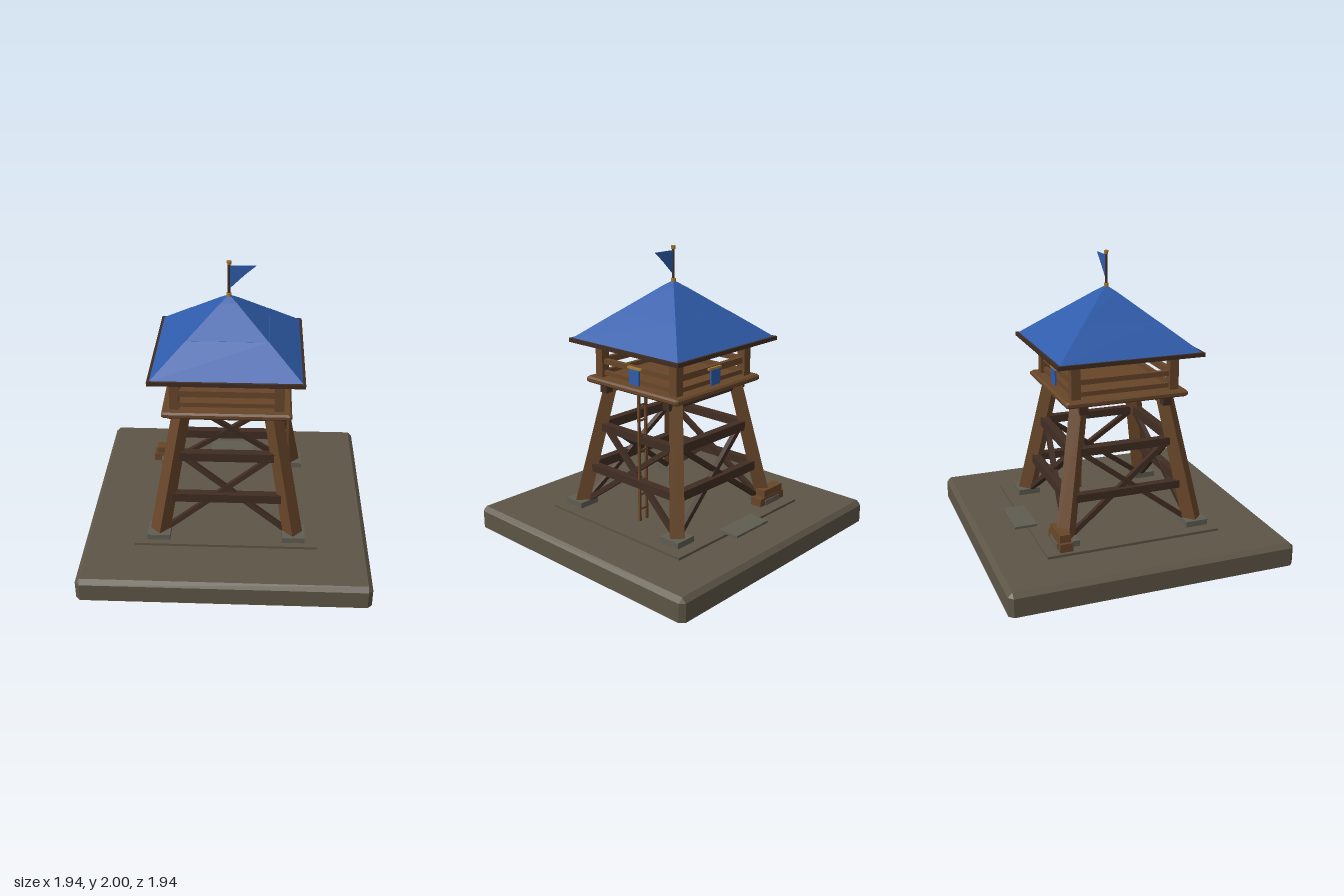
import * as THREE from 'three';

const paint = (name, color) => {
  const m = new THREE.MeshStandardMaterial({ color });
  m.name = name;
  return m;
};

export function createModel() {
  const model = new THREE.Group();
  model.name = 'watchtower';
  const earth = paint('earth stone', 0x5d5546);
  const stone = paint('grey stone', 0x5f5d52);
  const wood = paint('wood', 0x684629);
  const darkWood = paint('dark wood', 0x402d22);
  const blue = paint('blue', 0x2f5cab);
  const gold = paint('gold', 0xa87c32);

  const add = (name, geometry, material, parent = model) => {
    const mesh = new THREE.Mesh(geometry, material);
    mesh.name = name;
    parent.add(mesh);
    return mesh;
  };
  // Box given by its size and centre
  const box = (name, mat, w, h, d, x, y, z, parent) => {
    const mesh = add(name, new THREE.BoxGeometry(w, h, d), mat, parent);
    mesh.position.set(x, y, z);
    return mesh;
  };
  const faceted = (geometry) => {
    const g = geometry.toNonIndexed();
    g.computeVertexNormals();
    return g;
  };
  // Square block with cut corners, stacked from rings of [half width, corner cut, height]
  const cutBlock = (rings) => {
    const pos = [];
    const loops = rings.map(([h, c, y]) => {
      const loop = [];
      for (let i = 0; i < 4; i++) {
        const a = i * Math.PI / 2;
        for (const [x, z] of [[h, h - c], [h - c, h]]) {
          loop.push([x * Math.cos(a) - z * Math.sin(a), y, x * Math.sin(a) + z * Math.cos(a)]);
        }
      }
      return loop;
    });
    const tri = (a, b, c) => pos.push(...a, ...b, ...c);
    for (let r = 0; r < loops.length - 1; r++) {
      for (let i = 0; i < 8; i++) {
        const j = (i + 1) % 8, lo = loops[r], hi = loops[r + 1];
        tri(lo[i], hi[i], lo[j]);
        tri(lo[j], hi[i], hi[j]);
      }
    }
    const first = loops[0], last = loops[loops.length - 1];
    for (let i = 1; i < 7; i++) {
      tri(first[0], first[i], first[i + 1]);
      tri(last[0], last[i + 1], last[i]);
    }
    const g = new THREE.BufferGeometry();
    g.setAttribute('position', new THREE.Float32BufferAttribute(pos, 3));
    g.computeVertexNormals();
    return g;
  };
  const UP = new THREE.Vector3(0, 1, 0);
  const frustum = (top, bottom, h) => {
    const g = new THREE.CylinderGeometry(top * Math.SQRT2, bottom * Math.SQRT2, h, 4);
    return faceted(g.rotateY(Math.PI / 4));
  };

  // Ground slab, pad and stepping stone
  add('groundSlab', cutBlock([[0.97, 0.03, 0], [0.97, 0.03, 0.125], [0.94, 0, 0.155]]), earth);
  box('pad', earth, 1.24, 0.02, 1.205, 0, 0.162, -0.022);
  box('steppingStone', stone, 0.33, 0.016, 0.155, 0, 0.182, -0.642);

  // Splayed legs: square posts turned edge-on, each on a footing
  const legAt = (y) => 0.455 - 0.155 * (y - 0.2) / 0.87;
  for (const sx of [-1, 1]) for (const sz of [-1, 1]) {
    box('footing', stone, 0.156, 0.045, 0.156, sx * 0.46, 0.189, sz * 0.46);
    const a = new THREE.Vector3(sx * legAt(0.18), 0.18, sz * legAt(0.18));
    const b = new THREE.Vector3(sx * legAt(1.08), 1.08, sz * legAt(1.08));
    const leg = add('leg', faceted(new THREE.CylinderGeometry(0.061, 0.068, a.distanceTo(b), 4)), wood);
    leg.position.copy(a).add(b).divideScalar(2);
    leg.quaternion.setFromUnitVectors(UP, b.sub(a).normalize());
  }

  // One framed side, repeated around the tower
  for (let i = 0; i < 4; i++) {
    const side = new THREE.Group();
    side.name = 'framedSide';
    side.rotation.y = i * Math.PI / 2;
    model.add(side);
    const h = i % 2 ? 0.053 : 0.063;
    for (const y of [0.455, 0.752]) {
      const c = legAt(y);
      box('crossBeam', darkWood, 2 * (c - 0.04), h, 0.056, 0, y, c, side);
    }
    for (const s of [-1, 1]) {
      const a = new THREE.Vector3(-s * 0.395, 0.22, legAt(0.22) - 0.015);
      const b = new THREE.Vector3(s * 0.305, 0.74, legAt(0.74) - 0.015);
      const brace = add('diagonalBrace', new THREE.BoxGeometry(0.034, a.distanceTo(b), 0.034), darkWood, side);
      brace.position.copy(a).add(b).divideScalar(2);
      brace.quaternion.setFromUnitVectors(UP, b.sub(a).normalize());
    }
    // Railing
    box('topRail', wood, 0.63, i % 2 ? 0.034 : 0.043, 0.035, 0, 1.221, 0.34, side);
    box('lowerRail', wood, 0.63, 0.03, 0.03, 0, 1.14, 0.34, side);
    // Banners hang on the left and back sides only
    if (i === 1 || i === 2) {
      box('banner', blue, 0.09, 0.105, 0.012, 0, 1.172, 0.376, side);
      box('bannerBar', gold, 0.126, 0.014, 0.018, 0, 1.232, 0.371, side);
    }
  }

  // Deck, joists and posts
  add('deck', cutBlock([[0.413, 0.012, 1.07], [0.425, 0.012, 1.081], [0.425, 0.012, 1.1], [0.413, 0.012, 1.112]]), wood);
  for (const s of [-1, 1]) {
    box('joist', darkWood, 0.77, 0.062, 0.058, 0, 1.04, s * 0.292);
    for (const t of [-1, 1]) box('roofPost', wood, 0.063, 0.26, 0.063, s * 0.342, 1.235, t * 0.342);
  }

  // Ladder
  const ladder = new THREE.Group();
  ladder.name = 'ladder';
  model.add(ladder);
  for (const x of [0.352, 0.416]) box('ladderRail', wood, 0.016, 0.9, 0.016, x, 0.635, -0.078, ladder);
  for (let i = 0; i < 8; i++) box('rung', wood, 0.06, 0.012, 0.012, 0.384, 0.27 + i * 0.105, -0.078, ladder);

  // Stacked timber beside the back right leg
  box('lowerTimber', wood, 0.265, 0.058, 0.088, -0.464, 0.201, -0.488);
  box('upperTimber', wood, 0.2, 0.052, 0.075, -0.476, 0.256, -0.492);

  // Roof in two courses with a small cap
  box('eaves', darkWood, 1.0, 0.027, 1.0, 0, 1.366, 0);
  add('lowerRoof', frustum(0.267, 0.483, 0.178), blue).position.y = 1.468;
  add('upperRoof', frustum(0.055, 0.265, 0.172), blue).position.y = 1.643;
  add('roofCap', frustum(0.008, 0.055, 0.035), blue).position.y = 1.746;

  // Flagpole with gold fittings and pennant
  add('flagpole', new THREE.CylinderGeometry(0.009, 0.009, 0.23, 8), darkWood).position.y = 1.87;
  add('poleCollar', new THREE.CylinderGeometry(0.017, 0.017, 0.024, 8), gold).position.y = 1.77;
  add('poleFinial', new THREE.CylinderGeometry(0.016, 0.014, 0.024, 8), gold).position.y = 1.988;
  const pennant = new THREE.Shape([[0.005, 1.968], [0.005, 1.812], [0.1, 1.905], [0.174, 1.968]]
    .map(([x, y]) => new THREE.Vector2(x, y)));
  add('pennant', new THREE.ExtrudeGeometry(pennant, { depth: 0.006, bevelEnabled: false }), blue).position.z = -0.003;

  return model;
}
